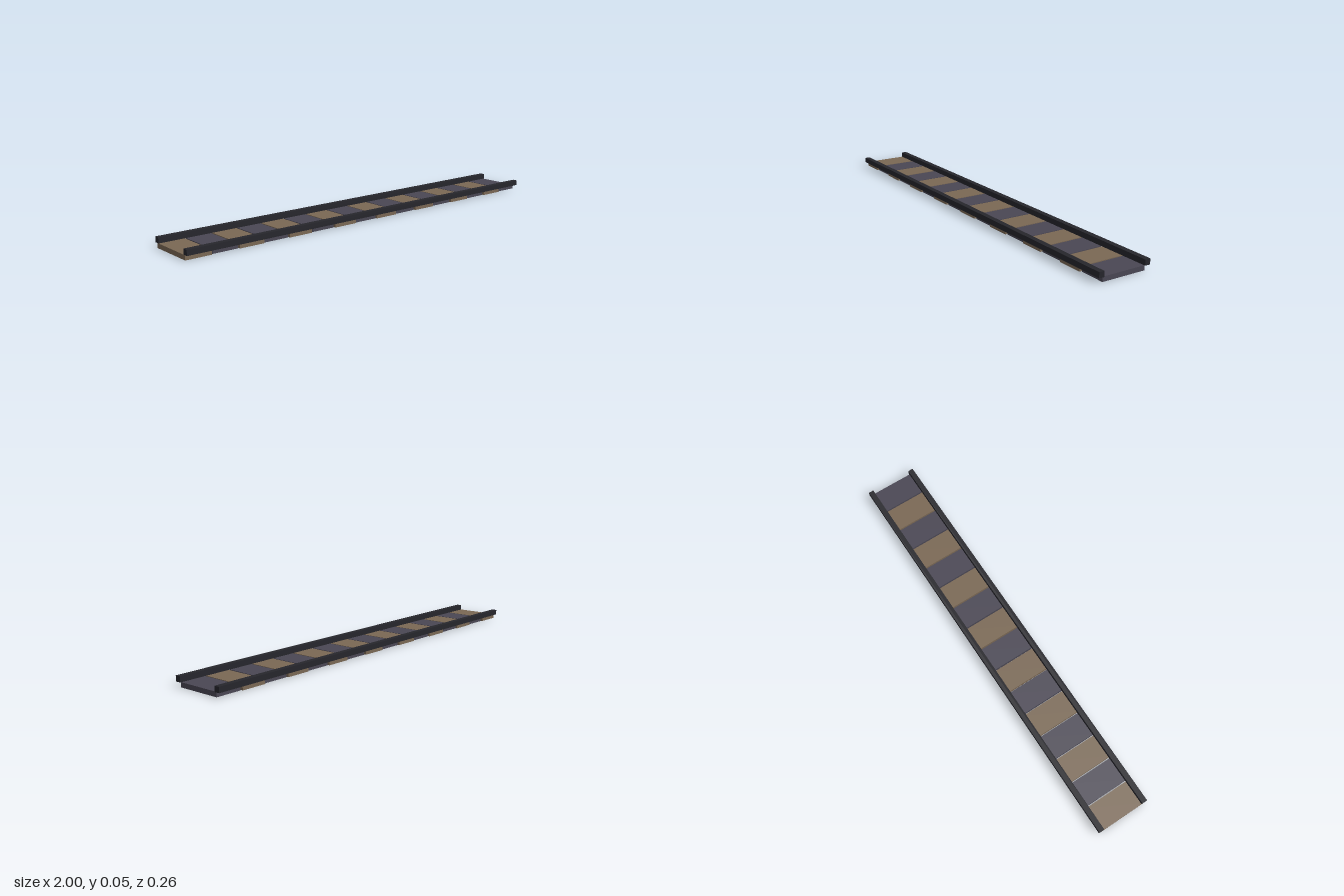
import * as THREE from 'three';

export function createModel() {
  const model = new THREE.Group();
  const material = (name, color) => {
    const m = new THREE.MeshStandardMaterial({ color });
    m.name = name;
    return m;
  };
  const brown = material('brown wood', 0x7a6854);
  const grey = material('grey wood', 0x4a4754);
  const dark = material('dark rail', 0x26262c);

  const addBox = (name, mat, size, position) => {
    const mesh = new THREE.Mesh(new THREE.BoxGeometry(...size), mat);
    mesh.name = name;
    mesh.position.set(...position);
    model.add(mesh);
  };

  // Deck: alternating planks, narrow gap after each one
  const count = 16, pitch = 2 / count, gap = 0.006, thickness = 0.0215;
  for (let i = 0; i < count; i++) {
    const isBrown = i % 2 === 0;
    const width = isBrown ? 0.225 : 0.211;
    addBox(isBrown ? 'brownPlank' : 'greyPlank', isBrown ? brown : grey,
      [pitch - gap, thickness, width],
      [-1 + i * pitch + (pitch - gap) / 2, thickness / 2, 0]);
  }

  // Side rails resting on the plank ends
  for (const side of [-1, 1]) {
    addBox(side > 0 ? 'frontRail' : 'backRail', dark,
      [2, 0.025, 0.025], [0, thickness + 0.0125, side * 0.1155]);
  }
  return model;
}
